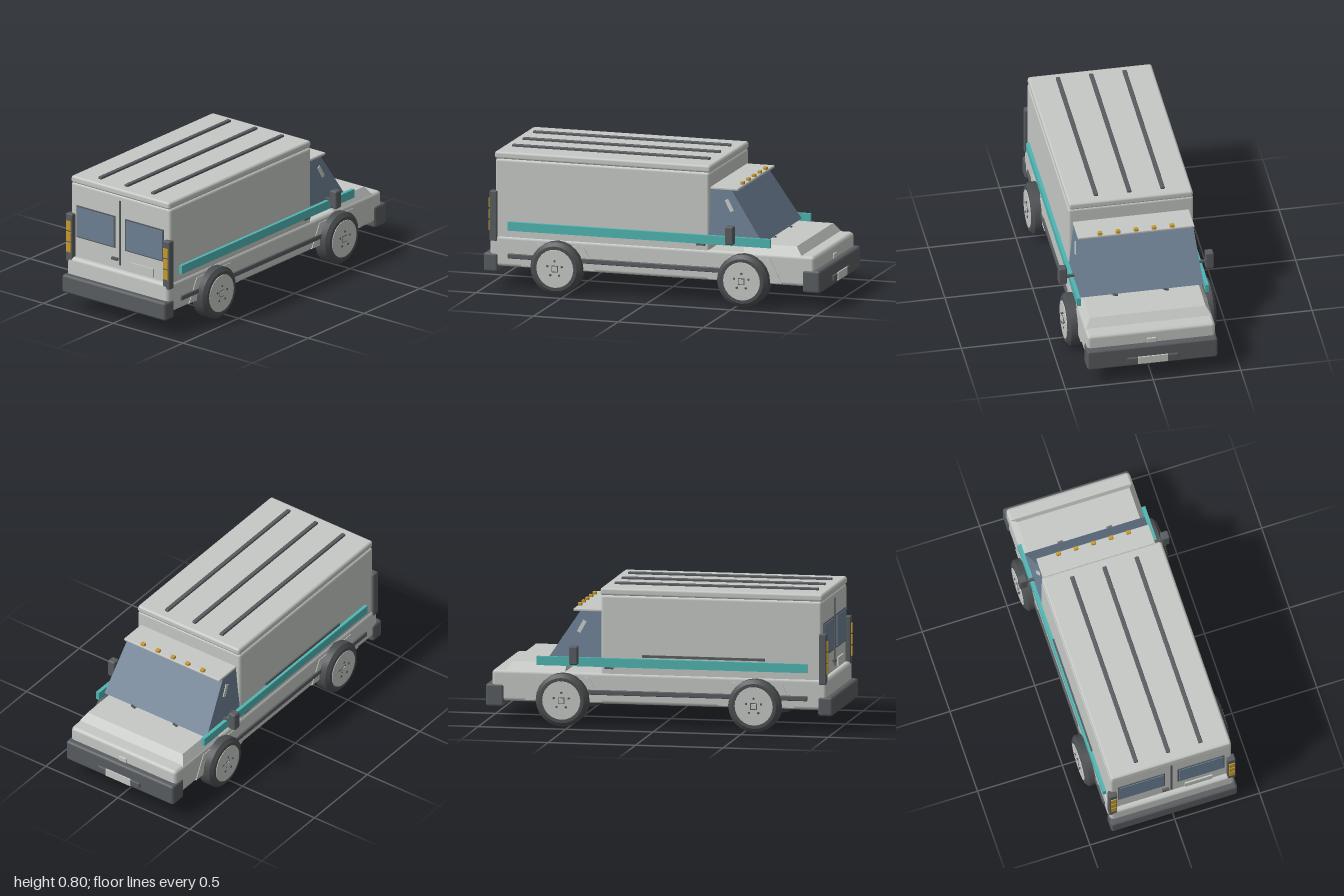
import * as THREE from 'three';
import { toCreasedNormals } from 'three/addons/utils/BufferGeometryUtils.js';
import { RoundedBoxGeometry } from 'three/addons/geometries/RoundedBoxGeometry.js';

const material = (name, color) => {
  const m = new THREE.MeshStandardMaterial({ color });
  m.name = name;
  return m;
};

export function createModel() {
  const paint = material('light grey paint', 0xc5c8c5);
  const trim = material('dark trim', 0x585c5f);
  const rubber = material('tyre rubber', 0x4b4e50);
  const glass = material('blue glass', 0x6c7f93);
  const teal = material('teal stripe', 0x4fb5b2);
  const amber = material('amber lens', 0xc79a2b);

  const model = new THREE.Group();
  model.name = 'van';

  const add = (name, geometry, mat, parent = model) => {
    const mesh = new THREE.Mesh(geometry, mat);
    mesh.name = name;
    parent.add(mesh);
    return mesh;
  };

  // Box given by its limits, with an optional softened edge
  const box = (name, mat, [x0, x1], [y0, y1], [z0, z1], bevel = 0, parent = model) => {
    const size = [x1 - x0, y1 - y0, z1 - z0];
    const geometry = bevel
      ? new RoundedBoxGeometry(...size, 1, bevel)
      : new THREE.BoxGeometry(...size);
    const mesh = add(name, geometry, mat, parent);
    mesh.position.set((x0 + x1) / 2, (y0 + y1) / 2, (z0 + z1) / 2);
    return mesh;
  };

  // Box limits mirrored on both sides of the van
  const pair = (name, mat, x, y, [z0, z1], bevel = 0) => {
    box(name + 'Left', mat, x, y, [z0, z1], bevel);
    box(name + 'Right', mat, x, y, [-z1, -z0], bevel);
  };

  // Tapered block: each level is [y, xBack, xFront, halfWidth]
  const taper = (name, mat, low, high) => {
    const geometry = new THREE.BoxGeometry(1, 1, 1);
    const p = geometry.attributes.position;
    for (let i = 0; i < p.count; i++) {
      const [y, back, front, half] = p.getY(i) < 0 ? low : high;
      p.setXYZ(i, p.getX(i) < 0 ? back : front, y, Math.sign(p.getZ(i)) * half);
    }
    geometry.computeVertexNormals();
    return add(name, geometry, mat);
  };

  // Body shell
  box('lowerBody', paint, [-0.965, 0.95], [0.13, 0.305], [-0.365, 0.365], 0.02);
  box('cargoBox', paint, [-0.935, 0.328], [0.28, 0.745], [-0.357, 0.357], 0.015);
  box('roofCap', paint, [-0.94, 0.333], [0.742, 0.785], [-0.354, 0.354], 0.014);
  taper('hood', paint, [0.3, 0.53, 0.875, 0.36], [0.352, 0.53, 0.835, 0.33]);
  box('hoodLatch', paint, [0.93, 0.958], [0.225, 0.256], [-0.027, 0.027], 0.004);

  // Cab glass with its roof visor
  taper('cabGlass', glass, [0.36, 0.325, 0.642, 0.355], [0.648, 0.325, 0.45, 0.328]);
  box('cabVisor', paint, [0.325, 0.49], [0.645, 0.661], [-0.332, 0.332], 0.005);

  // Slanted pale flash on each side window
  for (const s of [1, -1]) {
    const flash = box('windowFlash', paint, [-0.011, 0.011], [-0.037, 0.037], [-0.003, 0.003]);
    const pivot = new THREE.Group();
    pivot.name = 'windowFlashMount';
    pivot.position.set(0.44, 0.562, s * 0.338);
    pivot.rotation.x = -s * 0.09;
    flash.rotation.z = 0.5;
    pivot.add(flash);
    flash.position.set(0, 0, 0);
    model.add(pivot);
  }

  // Wipers
  for (const z of [0.15, -0.14]) {
    const wiper = box('wiper', trim, [0.638, 0.652], [0.354, 0.362], [z - 0.015, z + 0.015]);
    wiper.rotation.x = -0.25;
  }

  // Roof ribs and marker lights
  for (const z of [-0.19, 0, 0.19])
    box('roofRib', trim, [-0.885, 0.28], [0.782, 0.798], [z - 0.012, z + 0.012], 0.004);
  for (let i = -2; i <= 2; i++) {
    const z = i * 0.103;
    box('markerLight', amber, [0.465, 0.487], [0.659, 0.677], [z - 0.013, z + 0.013], 0.004);
  }

  // Side stripe, rub strip, door handle and mirrors
  pair('sideStripe', teal, [-0.855, 0.692], [0.34, 0.39], [0.355, 0.376]);
  pair('rubStrip', trim, [-0.855, 0.6], [0.18, 0.208], [0.36, 0.376], 0.005);
  pair('doorHandle', trim, [0.255, 0.305], [0.328, 0.342], [0.355, 0.37]);
  pair('mirrorArm', trim, [0.462, 0.478], [0.388, 0.402], [0.345, 0.41]);
  pair('mirror', trim, [0.445, 0.494], [0.356, 0.461], [0.395, 0.442], 0.008);
  box('slidingDoorRail', trim, [-0.61, 0.09], [0.398, 0.412], [-0.366, -0.354]);

  // Bumpers and front plate
  box('frontBumper', trim, [0.88, 0.985], [0.097, 0.225], [-0.372, 0.372], 0.014);
  box('rearBumper', trim, [-1, -0.915], [0.097, 0.205], [-0.372, 0.372], 0.014);
  box('plateHolder', trim, [0.97, 0.996], [0.125, 0.158], [-0.145, 0.145], 0.004);
  box('frontPlate', paint, [0.992, 1], [0.118, 0.163], [-0.085, 0.085]);

  // Rear doors: windows, seam, handle, plate
  for (const s of [1, -1]) {
    const z = [s * 0.175 - 0.138, s * 0.175 + 0.138];
    box('rearWindowFrame', trim, [-0.94, -0.932], [0.425, 0.615], z);
    box('rearWindow', glass, [-0.944, -0.936], [0.433, 0.607], [z[0] + 0.008, z[1] - 0.008]);
  }
  box('doorSeam', trim, [-0.941, -0.932], [0.33, 0.715], [-0.005, 0.005]);
  box('rearHandle', trim, [-0.95, -0.932], [0.355, 0.37], [-0.055, -0.015]);
  box('rearPlate', paint, [-0.944, -0.934], [0.315, 0.365], [0.08, 0.24]);

  // Rear lamp columns
  pair('rearLamp', trim, [-0.963, -0.92], [0.275, 0.562], [0.325, 0.372], 0.006);
  for (const y of [0.335, 0.4, 0.465])
    pair('rearLens', amber, [-0.969, -0.962], [y, y + 0.055], [0.332, 0.365]);

  // Wheel arch panels
  const arch = new THREE.Shape();
  arch.moveTo(-0.22, 0.14).lineTo(0.22, 0.14).lineTo(0.15, 0.275).lineTo(-0.15, 0.275);
  const archGeometry = new THREE.ExtrudeGeometry(arch, { depth: 0.738, bevelEnabled: false });
  archGeometry.translate(0, 0, -0.369);

  // Wheels: chamfered tyre, light cover, hub block and nuts
  const section = [[0, -0.055], [0.125, -0.055], [0.15, -0.035], [0.15, 0.035], [0.128, 0.052], [0, 0.052]];
  const tyre = toCreasedNormals(
    new THREE.LatheGeometry(section.map(([r, y]) => new THREE.Vector2(r, y)), 24).rotateX(Math.PI / 2), 0.4);
  const cover = new THREE.CylinderGeometry(0.108, 0.115, 0.016, 24).rotateX(Math.PI / 2);
  const nut = new THREE.CylinderGeometry(0.007, 0.007, 0.012, 6).rotateX(Math.PI / 2);
  for (const [x, end] of [[-0.56, 'rear'], [0.54, 'front']]) {
    add(end + 'Arches', archGeometry, paint).position.x = x;
    for (const s of [1, -1]) {
      const wheel = new THREE.Group();
      wheel.name = end + (s > 0 ? 'LeftWheel' : 'RightWheel');
      wheel.position.set(x, 0.15, s * 0.372);
      if (s < 0) wheel.rotation.y = Math.PI;
      add('tyre', tyre, rubber, wheel);
      add('wheelCover', cover, paint, wheel).position.z = 0.047;
      box('hubRim', trim, [-0.019, 0.019], [-0.019, 0.019], [0.05, 0.057], 0, wheel);
      box('hub', paint, [-0.014, 0.014], [-0.014, 0.014], [0.05, 0.061], 0, wheel);
      for (let i = 0; i < 5; i++) {
        const a = Math.PI / 2 + (i * Math.PI * 2) / 5;
        add('wheelNut', nut, trim, wheel).position.set(0.045 * Math.cos(a), 0.045 * Math.sin(a), 0.054);
      }
      model.add(wheel);
    }
  }

  return model;
}
